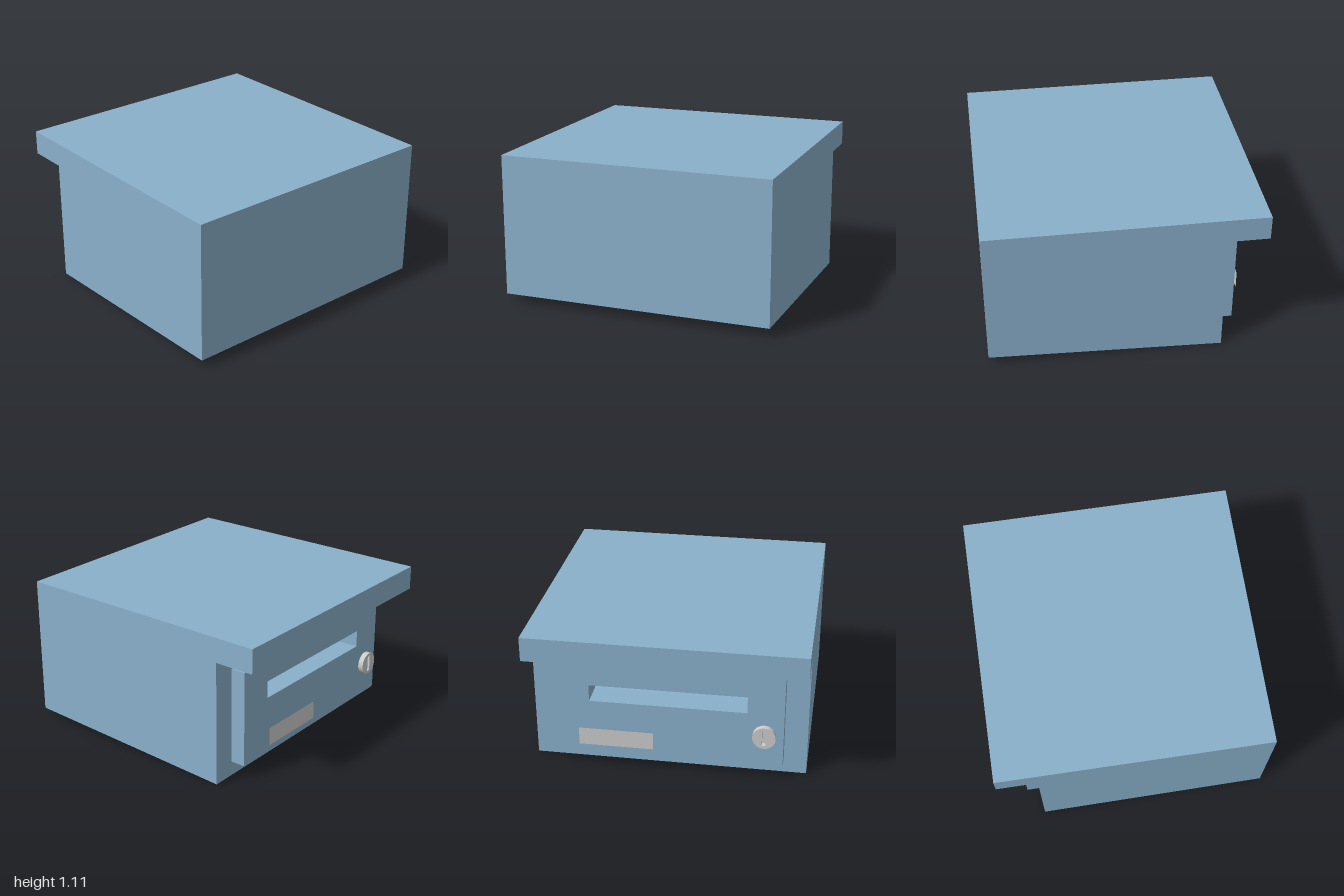
import * as THREE from 'three';

const blue = new THREE.MeshStandardMaterial({ color: 0x8ab0cb });
const grey = new THREE.MeshStandardMaterial({ color: 0xcccccc });
const greyThin = new THREE.MeshStandardMaterial({ color: 0xcccccc, side: THREE.DoubleSide });

const BACK = -0.7, WALL = 0.06, PANEL = 0.08, DOOR_Z = -0.81;

const polygon = (pts) => new THREE.Shape(pts.map(([a, b]) => new THREE.Vector2(a, b)));

function rect(x0, y0, x1, y1, Type = THREE.Shape) {
  const s = new Type();
  s.moveTo(x0, y0).lineTo(x1, y0).lineTo(x1, y1).lineTo(x0, y1).closePath();
  return s;
}

function part(name, geometry, material = blue) {
  const mesh = new THREE.Mesh(geometry, material);
  mesh.name = name;
  return mesh;
}

// Extrudes a (z, y) profile sideways, centred on x
function acrossX(points, width, x) {
  const g = new THREE.ExtrudeGeometry(polygon(points), { depth: width, bevelEnabled: false });
  return g.rotateY(-Math.PI / 2).translate(x + width / 2, 0, 0);
}

// Extrudes an (x, y) shape from z0 to z1
function alongZ(shape, z0, z1, curveSegments = 32) {
  const g = new THREE.ExtrudeGeometry(shape, { depth: z1 - z0, bevelEnabled: false, curveSegments });
  return g.translate(0, 0, z0);
}

// Wall panel with the mail slot cut through it
function slotted(x, y0, y1, z0, z1) {
  const s = rect(-x, y0, x, y1);
  s.holes.push(rect(-0.57, 0.535, 0.57, 0.663, THREE.Path));
  return alongZ(s, z0, z1);
}

export function createModel() {
  const group = new THREE.Group();
  group.name = 'mailbox';

  // Side walls carry the full outline, with sloping floor and overhanging roof
  const outline = [[BACK, 0], [1, 0.065], [1, 1.105], [-1, 1.105], [-1, 0.925], [BACK, 0.925]];
  for (const side of [-1, 1]) {
    group.add(part(side > 0 ? 'leftWall' : 'rightWall', acrossX(outline, WALL, side * (1 - WALL / 2))));
  }

  // Floor, front wall and roof in one hollow shell
  const shell = [
    ...outline.slice(0, 5),
    [BACK + PANEL, 0.925], [BACK + PANEL, 1.045], [1 - WALL, 1.045],
    [1 - WALL, 0.12], [BACK + PANEL, 0.06], [BACK, 0.06],
  ];
  group.add(part('shell', acrossX(shell, 2 - 2 * WALL, 0)));

  // Back wall and raised door share the slot
  group.add(part('backWall', slotted(1 - WALL, 0.06, 0.925, BACK, BACK + PANEL)));
  group.add(part('door', slotted(0.833, 0.108, 0.82, DOOR_Z, BACK)));

  // Name plate, a thin sheet held just off the door
  const plate = new THREE.PlaneGeometry(0.54, 0.135).rotateY(Math.PI).translate(0.366, 0.28, -0.88);
  group.add(part('namePlate', plate, greyThin));

  // Round lock with an upright keyhole
  const lock = new THREE.Group();
  lock.name = 'lock';
  const face = new THREE.Shape().absarc(0, 0, 0.084, 0, Math.PI * 2);
  face.holes.push(rect(-0.014, -0.06, 0.014, 0.06, THREE.Path));
  lock.add(part('lockCylinder', alongZ(face, -0.04, 0, 32), grey));
  const base = new THREE.PlaneGeometry(0.04, 0.13).rotateY(Math.PI).translate(0, 0, -0.003);
  lock.add(part('keyholeBase', base, grey));
  lock.position.set(-0.695, 0.36, DOOR_Z);
  group.add(lock);

  return group;
}
